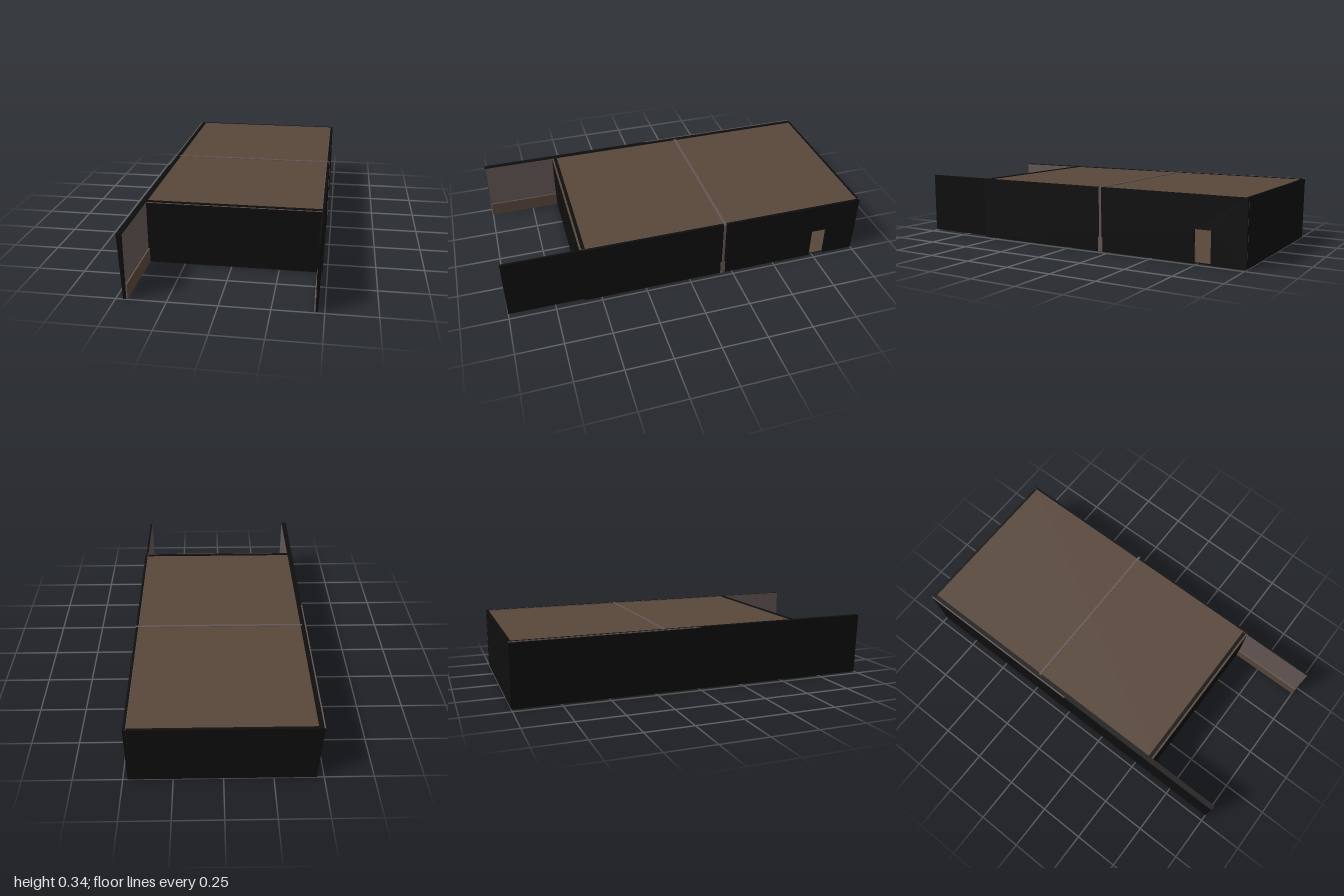
import * as THREE from 'three';

const mat = (name, color) => {
  const m = new THREE.MeshStandardMaterial({ color });
  m.name = name;
  return m;
};

export function createModel() {
  const group = new THREE.Group();
  const black = mat('black', 0x0e0e0e);
  const brown = mat('brown', 0x584639);
  const grey = mat('greyBrown', 0x635653);
  const H = 0.342;

  const add = (name, geometry, material) => {
    const mesh = new THREE.Mesh(geometry, material);
    mesh.name = name;
    group.add(mesh);
    return mesh;
  };
  // Box given by its lower and upper corner
  const box = (name, [x0, y0, z0], [x1, y1, z1], material) => {
    const g = new THREE.BoxGeometry(x1 - x0, y1 - y0, z1 - z0);
    g.translate((x0 + x1) / 2, (y0 + y1) / 2, (z0 + z1) / 2);
    return add(name, g, material);
  };

  // Floor, end walls and roof of the closed hall
  box('floor', [-0.455, 0, -0.99], [0.465, 0.006, 0.595], [black, black, brown, black, black, black]);
  box('backWall', [-0.463, 0, -1], [0.475, H, -0.986], [black, black, black, black, grey, black]);
  box('frontWall', [-0.45, 0.002, 0.582], [0.46, 0.325, 0.595], [black, black, black, black, black, grey]);
  box('roof', [-0.45, 0.325, -0.986], [0.462, 0.338, 0.595], [black, black, brown, brown, black, black]);
  box('roofFrontTrim', [-0.45, 0.336, 0.566], [0.462, H, 0.584], black);

  // Left-hand rim: the outer face of this wall leans outwards towards the top
  const leaning = new THREE.Shape([
    new THREE.Vector2(-0.463, 0), new THREE.Vector2(-0.45, 0),
    new THREE.Vector2(-0.45, H), new THREE.Vector2(-0.476, H),
  ]);
  const leaningWall = new THREE.ExtrudeGeometry(leaning, { depth: 2, bevelEnabled: false });
  leaningWall.translate(0, 0, -1);
  add('rightWall', leaningWall, black);
  box('rightWallLining', [-0.45, 0, -0.986], [-0.447, H - 0.002, 0.999], [grey, grey, black, black, black, black]);
  box('rightWallTopEdge', [-0.478, H - 0.004, -1], [-0.471, H + 0.001, 0], grey);

  // Side wall with a doorway, outlined in the z-y plane and extruded along x
  const doorWall = (name, x, depth, material) => {
    const shape = new THREE.Shape();
    [[-0.595, 0], [0.73, 0], [0.73, 0.172], [0.82, 0.172], [0.82, 0], [1, 0], [1, H], [-0.595, H]]
      .forEach(([u, v], i) => (i ? shape.lineTo(u, v) : shape.moveTo(u, v)));
    const g = new THREE.ExtrudeGeometry(shape, { depth, bevelEnabled: false });
    g.rotateY(Math.PI / 2);
    g.translate(x, 0, 0);
    add(name, g, material);
  };
  doorWall('leftWall', 0.461, 0.014, black);
  doorWall('leftWallLining', 0.458, 0.003, grey);
  box('leftWallExtension', [0.458, 0.006, 0.595], [0.469, H, 1], [black, grey, black, black, black, black]);

  // Wainscots along the inner faces, broken at the doorway
  const skirting = [grey, brown, grey, black, grey, grey];
  const skirtingMirrored = [brown, grey, grey, black, grey, grey];
  box('rightWainscot', [-0.447, 0.002, -0.986], [-0.44, 0.08, 1], skirtingMirrored);
  [[-0.986, -0.82], [-0.73, 0.582], [0.595, 1]].forEach(([z0, z1]) =>
    box('leftWainscot', [0.45, 0.006, z0], [0.458, 0.08, z1], skirting));

  // Rib band across the roof and down the doorway side
  const z = -0.195;
  box('ribRoof', [-0.455, 0.336, z - 0.007], [0.476, H + 0.001, z + 0.007], grey);
  box('ribSide', [0.47, 0, z - 0.007], [0.477, H + 0.001, z + 0.007], grey);
  box('ribBase', [0.47, 0, z - 0.013], [0.478, 0.08, z + 0.013], grey);

  return group;
}
